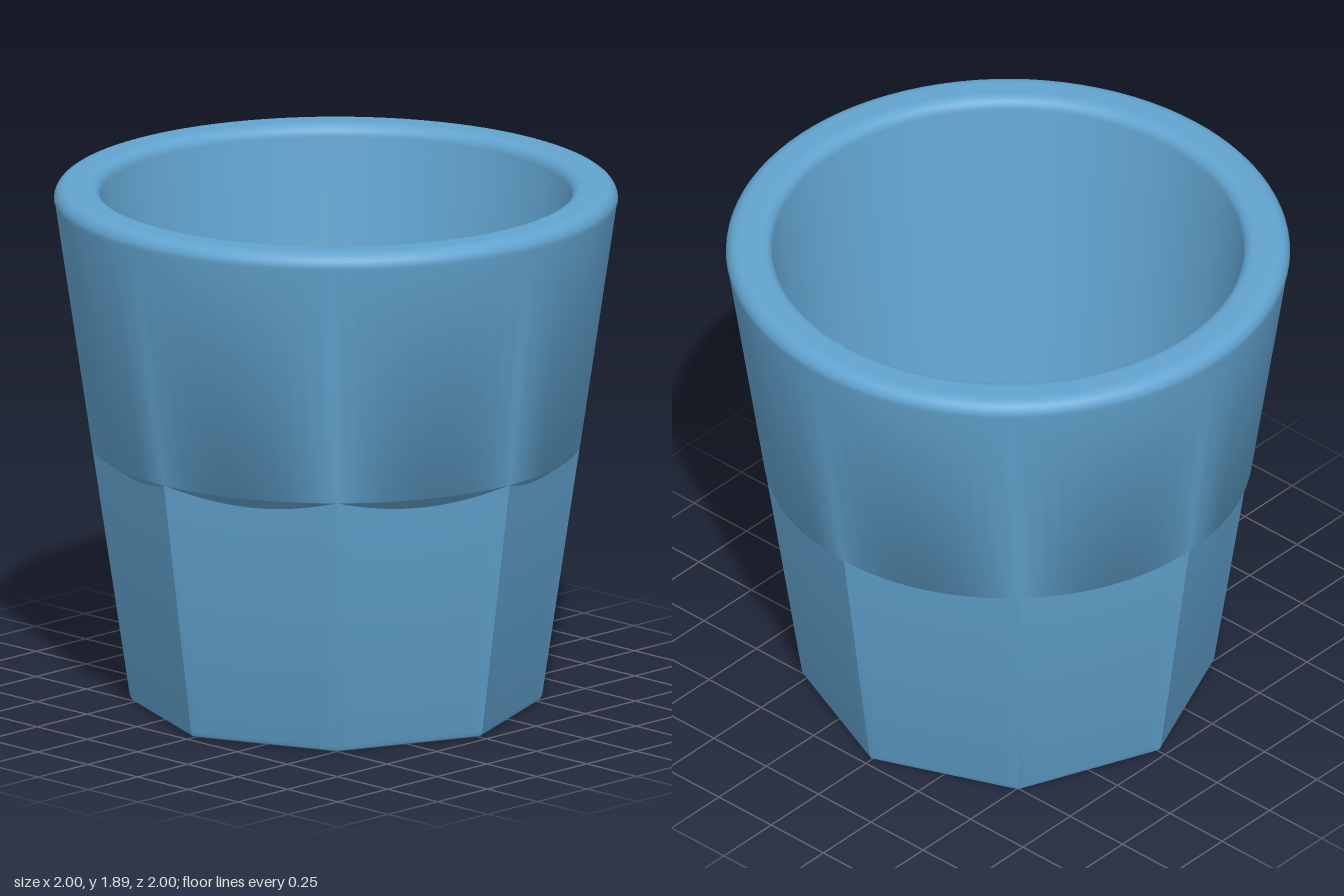
import * as THREE from 'three';
import { toCreasedNormals } from 'three/addons/utils/BufferGeometryUtils.js';

const SIDES = 8, SEGMENTS = 96, LEDGE = 0.95;
const taper = (y) => 0.727 + 0.147 * y; // outer radius at a height

// Ratio of octagon radius to circle radius, corners on the axes
function octagon(phi) {
  const step = (Math.PI * 2) / SIDES;
  const local = (((phi % step) + step) % step) - step / 2;
  return Math.cos(step / 2) / Math.cos(local);
}

// How far the facet is cut in: 0 at a corner, 1 at mid-facet
const cut = (phi) => (1 - octagon(phi)) / (1 - Math.cos(Math.PI / SIDES));

// Skin between rows, each a function phi -> [radius, y], listed bottom to top
function loft(rows) {
  const pos = [], index = [], n = SEGMENTS + 1;
  rows.forEach((row) => {
    for (let i = 0; i < n; i++) {
      const phi = (i / SEGMENTS) * Math.PI * 2;
      const [r, y] = row(phi);
      pos.push(r * Math.sin(phi), y, r * Math.cos(phi));
    }
  });
  for (let k = 0; k < rows.length - 1; k++) {
    for (let i = 0; i < SEGMENTS; i++) {
      const a = k * n + i, b = a + 1, c = b + n, d = a + n;
      index.push(a, b, d, b, c, d);
    }
  }
  const g = new THREE.BufferGeometry();
  g.setAttribute('position', new THREE.Float32BufferAttribute(pos, 3));
  g.setIndex(index);
  return toCreasedNormals(g, 0.5);
}

// Quarter-round points about a centre, from angle a0 to a1
function arc(cx, cy, r, a0, a1, steps = 6) {
  return Array.from({ length: steps + 1 }, (_, i) => {
    const a = a0 + ((a1 - a0) * i) / steps;
    return new THREE.Vector2(cx + r * Math.cos(a), cy + r * Math.sin(a));
  });
}

export function createModel() {
  const group = new THREE.Group();
  group.name = 'cup';
  const blue = new THREE.MeshStandardMaterial({ color: 0x62a4d0 });
  blue.name = 'blue';
  const add = (name, geometry) => {
    const mesh = new THREE.Mesh(geometry, blue);
    mesh.name = name;
    group.add(mesh);
  };

  // Faceted base: underside, small bevel and eight flat sides
  const oct = (r, y) => (phi) => [r * octagon(phi), y];
  const facetTop = (phi) => {
    const y = LEDGE - 0.05 * cut(phi);
    return [taper(y) * octagon(phi), y];
  };
  add('facetedBase', loft([
    () => [0, 0], oct(0.705, 0), oct(0.722, 0.007), oct(taper(0.025), 0.025), facetTop,
  ]));

  // Sloping ledge between the facets and the round upper wall
  add('ledge', loft([facetTop, () => [taper(LEDGE), LEDGE]]));

  // Round upper wall, rounded rim, inner wall and floor
  const profile = [
    new THREE.Vector2(taper(LEDGE), LEDGE),
    new THREE.Vector2(taper(1.83), 1.83),
    ...arc(0.95, 1.842, 0.05, 0, Math.PI / 2),
    new THREE.Vector2(0.94, 1.892),
    new THREE.Vector2(0.885, 1.892),
    ...arc(0.88, 1.847, 0.045, Math.PI / 2, Math.PI),
    new THREE.Vector2(0.833, 1.83),
    new THREE.Vector2(0.617, 0.3),
    ...arc(0.53, 0.28, 0.08, 0, -Math.PI / 2),
    new THREE.Vector2(0.52, 0.2),
    new THREE.Vector2(0, 0.2),
  ];
  const bowl = new THREE.LatheGeometry(profile, SEGMENTS);

  // Soften the wall's lower edge into the ledge where the facets cut in
  const normal = bowl.attributes.normal;
  for (let i = 0; i <= SEGMENTS; i++) {
    const phi = (i / SEGMENTS) * Math.PI * 2;
    const v = new THREE.Vector3(Math.sin(phi), -0.147 - 0.5 * cut(phi), Math.cos(phi)).normalize();
    normal.setXYZ(i * profile.length, v.x, v.y, v.z);
  }
  add('upperWallAndBowl', bowl);

  return group;
}
